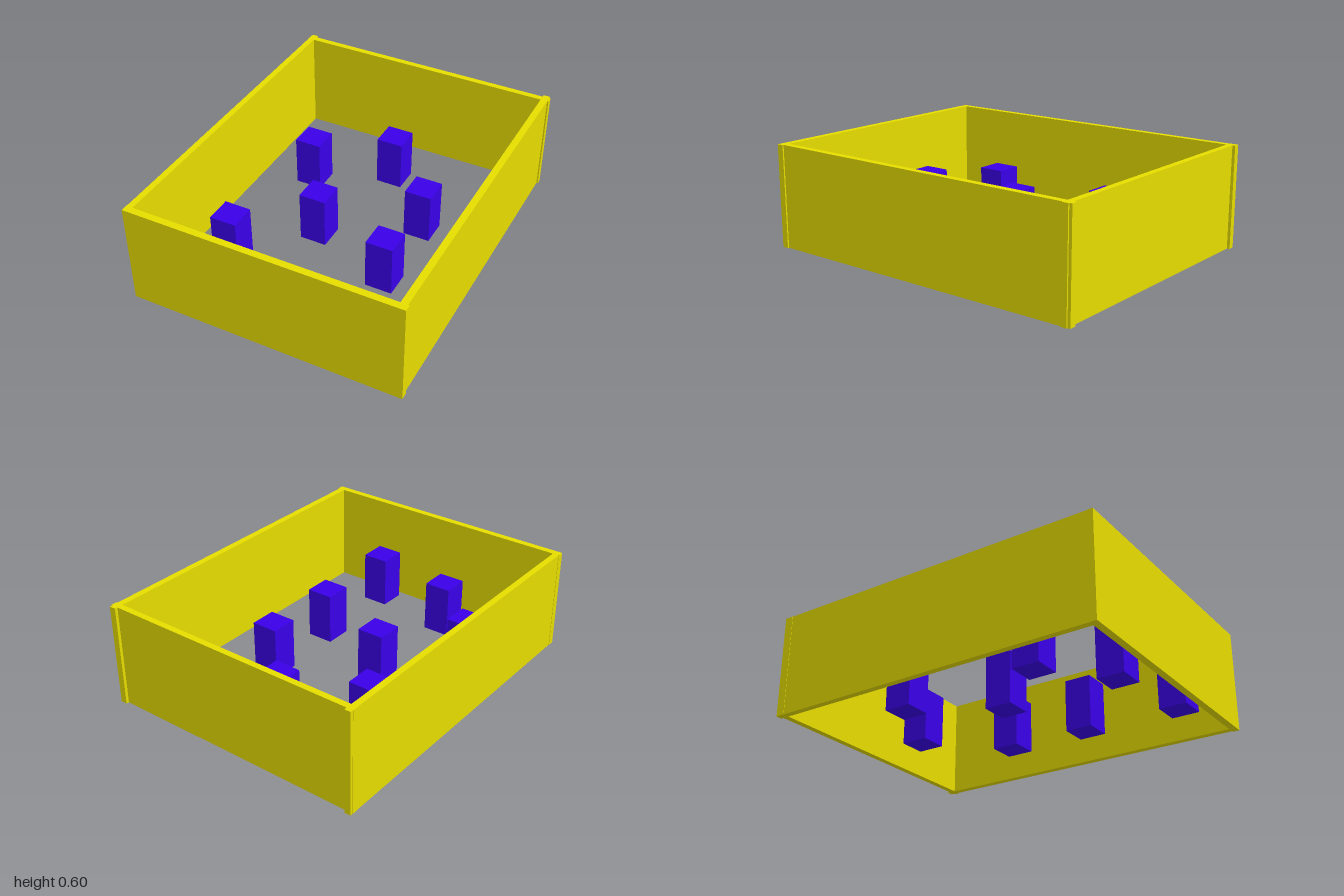
import * as THREE from 'three';

export function createModel() {
  const model = new THREE.Group();
  const yellow = new THREE.MeshStandardMaterial({ color: 0xe6dc00 });
  yellow.name = 'wall yellow';
  const violet = new THREE.MeshStandardMaterial({ color: 0x3a00e8 });
  violet.name = 'pillar violet';

  // Box standing on the ground, given by its x and z ranges
  function block(name, x0, x1, z0, z1, height, material) {
    const mesh = new THREE.Mesh(new THREE.BoxGeometry(x1 - x0, height, z1 - z0), material);
    mesh.position.set((x0 + x1) / 2, height / 2, (z0 + z1) / 2);
    mesh.name = name;
    model.add(mesh);
  }

  // Open enclosure: side walls run slightly past the back wall
  const wallHeight = 0.597;
  block('frontWall', -0.795, 0.795, 0.96, 1, wallHeight, yellow);
  block('backWall', -0.795, 0.795, -0.983, -0.947, wallHeight, yellow);
  block('rightWall', -0.793, -0.757, -1, 0.96, wallHeight, yellow);
  block('leftWall', 0.748, 0.787, -1, 0.96, wallHeight, yellow);

  // Scattered square pillars
  const half = 0.079;
  const pillars = [
    [-0.017, -0.605], [-0.448, -0.377], [0.343, -0.222], [-0.167, 0.08],
    [0.343, 0.272], [-0.503, 0.474], [-0.167, 0.76], [0.352, 0.845],
  ];
  pillars.forEach(([x, z], i) =>
    block(`pillar${i + 1}`, x - half, x + half, z - half, z + half, 0.305, violet));

  return model;
}
